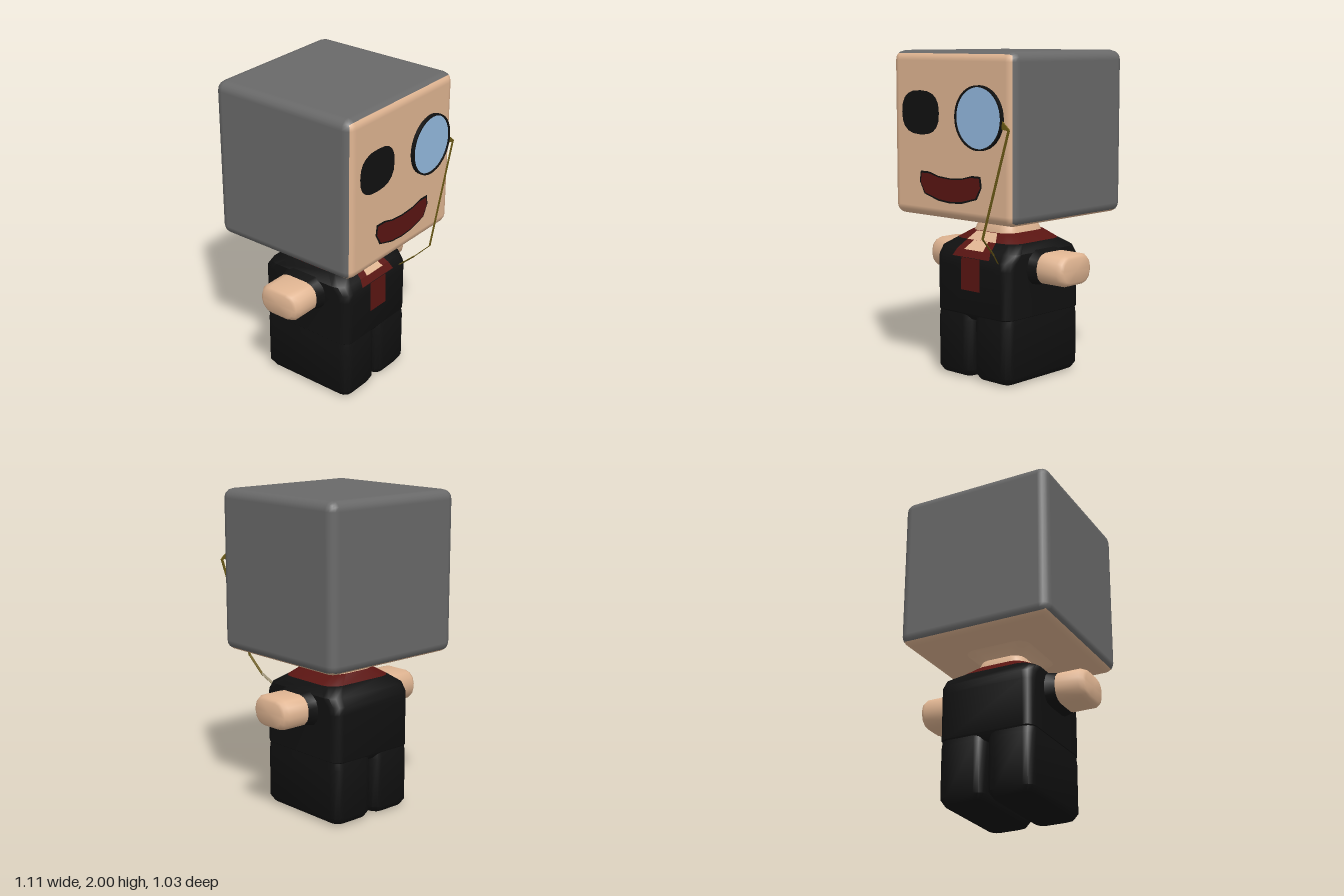
import * as THREE from 'three';
import { toCreasedNormals } from 'three/addons/utils/BufferGeometryUtils.js';
import { RoundedBoxGeometry } from 'three/addons/geometries/RoundedBoxGeometry.js';

const mat = (color) => new THREE.MeshStandardMaterial({ color, side: THREE.DoubleSide });
const CZ = -0.0125; // depth centre of the body

// Rounded-rectangle cross-sections [y, halfX, halfZ, cornerRadius] joined upwards and capped
function loft(rings, seg = 3) {
  const pos = [], idx = [], n = 4 * (seg + 1);
  for (const [y, hx, hz, r] of rings) {
    for (let c = 0; c < 4; c++) {
      const sx = c === 0 || c === 3 ? 1 : -1, sz = c < 2 ? 1 : -1;
      for (let k = 0; k <= seg; k++) {
        const a = (c + k / seg) * Math.PI / 2;
        pos.push(sx * (hx - r) + r * Math.cos(a), y, sz * (hz - r) + r * Math.sin(a));
      }
    }
  }
  const last = (rings.length - 1) * n, bottom = rings.length * n;
  pos.push(0, rings[0][0], 0, 0, rings[rings.length - 1][0], 0);
  for (let i = 0; i < n; i++) {
    const j = (i + 1) % n;
    for (let b = 0; b < last; b += n) {
      idx.push(b + i, b + n + i, b + j, b + n + i, b + n + j, b + j);
    }
    idx.push(bottom, i, j, bottom + 1, last + j, last + i);
  }
  const g = new THREE.BufferGeometry();
  g.setAttribute('position', new THREE.Float32BufferAttribute(pos, 3));
  g.setIndex(idx);
  return toCreasedNormals(g, 0.75);
}

// Front surface depth of the upper body at a given height
function frontZ(y) {
  const p = [[0.5, 0.32], [0.75, 0.32], [0.8, 0.288], [0.85, 0.22], [0.9, 0.17]];
  for (let i = 1; i < p.length; i++) {
    if (y <= p[i][0]) {
      const t = (y - p[i - 1][0]) / (p[i][0] - p[i - 1][0]);
      return THREE.MathUtils.lerp(p[i - 1][1], p[i][1], t);
    }
  }
  return 0.17;
}

// Symmetric patch lying on the chest, from height y0 up to y1
function chestPatch(y0, w0, y1, w1, lift) {
  const z0 = frontZ(y0) + lift, z1 = frontZ(y1) + lift;
  const g = new THREE.BufferGeometry();
  g.setAttribute('position', new THREE.Float32BufferAttribute(
    [-w0, y0, z0, w0, y0, z0, w1, y1, z1, -w1, y1, z1], 3));
  g.setIndex([0, 1, 2, 0, 2, 3]);
  g.computeVertexNormals();
  return g;
}

export function createModel() {
  const group = new THREE.Group();
  const skin = mat(0xe0b592), hair = mat(0x696969), black = mat(0x111111);
  const red = mat(0x5a1512), glass = mat(0x94bae0), gold = mat(0x6b5a17);
  const add = (name, geo, material, x = 0, y = 0, z = 0) => {
    const m = new THREE.Mesh(geo, material);
    m.name = name;
    m.position.set(x, y, z);
    group.add(m);
    return m;
  };

  // Head: face and underside are skin, the other four sides are hair
  add('head', new RoundedBoxGeometry(1, 0.995, 1, 2, 0.06),
    [hair, hair, hair, skin, skin, hair], 0, 1.5025, -0.015);

  // Neck, collar and suit
  add('neck', loft([[0.87, 0.17, 0.17, 0.07], [0.9, 0.165, 0.175, 0.08],
    [0.95, 0.145, 0.155, 0.07], [0.985, 0.175, 0.185, 0.07], [1.015, 0.23, 0.24, 0.07]]), skin, 0, 0, CZ);
  add('collar', loft([[0.85, 0.255, 0.2325, 0.09], [0.9, 0.175, 0.1825, 0.08]]), red, 0, 0, CZ);
  add('torso', loft([[0.37, 0.27, 0.3, 0.05], [0.41, 0.308, 0.3325, 0.06], [0.7, 0.308, 0.3325, 0.06],
    [0.75, 0.312, 0.3325, 0.07], [0.8, 0.315, 0.3, 0.08], [0.85, 0.255, 0.2325, 0.09]]), black, 0, 0, CZ);

  // Legs, sleeves and arms, mirrored
  const leg = loft([[0, 0.1, 0.28, 0.04], [0.012, 0.125, 0.31, 0.05], [0.05, 0.149, 0.3325, 0.06],
    [0.36, 0.149, 0.3325, 0.06], [0.44, 0.145, 0.32, 0.06]]);
  const sleeve = loft([[0.2, 0.13, 0.2, 0.08], [0.31, 0.104, 0.165, 0.08], [0.37, 0.096, 0.152, 0.08]]);
  const arm = loft([[0.34, 0.095, 0.15, 0.08], [0.52, 0.095, 0.15, 0.08],
    [0.545, 0.086, 0.135, 0.075], [0.555, 0.07, 0.115, 0.06]]);
  for (const s of [1, -1]) {
    const side = s > 0 ? 'left' : 'right';
    add(side + 'Leg', leg, black, s * 0.158, 0, CZ);
    add(side + 'Sleeve', sleeve, black, 0, 0.705, -0.015).rotation.z = -s * Math.PI / 2;
    add(side + 'Arm', arm, skin, 0, 0.705, -0.015).rotation.z = -s * Math.PI / 2;
  }

  // Tie, lapels and open neckline
  add('tie', chestPatch(0.555, 0.078, 0.755, 0.078, 0.004), red);
  add('tieKnot', chestPatch(0.757, 0.155, 0.8, 0.14, 0.004), red);
  add('lapels', chestPatch(0.8, 0.14, 0.85, 0.12, 0.004), red);
  add('necklineLower', chestPatch(0.8, 0.08, 0.85, 0.06, 0.007), skin);
  add('necklineUpper', chestPatch(0.85, 0.12, 0.9, 0.085, 0.005), skin);

  // Right eye: flat rounded patch
  const eye = new THREE.Shape();
  for (let i = 0; i < 20; i++) {
    const a = i / 20 * Math.PI * 2, c = Math.cos(a), s = Math.sin(a);
    const x = 0.16 * Math.sign(c) * Math.abs(c) ** 0.78, y = 0.132 * Math.sign(s) * Math.abs(s) ** 0.78;
    i ? eye.lineTo(x, y) : eye.moveTo(x, y);
  }
  add('rightEye', new THREE.ShapeGeometry(eye), black, -0.25, 1.632, 0.488);

  // Mouth: black outline with a smaller red inside
  const half = [[0, 1.255], [0.1, 1.262], [0.18, 1.283], [0.25, 1.283], [0.26, 1.22],
    [0.22, 1.147], [0.1, 1.113], [0, 1.105]];
  const outline = [...half, ...half.slice(1, -1).reverse().map(([x, y]) => [-x, y])];
  const mouth = (kx, ky) => new THREE.ShapeGeometry(new THREE.Shape(
    outline.map(([x, y]) => new THREE.Vector2(x * kx, (y - 1.195) * ky))));
  add('mouthOutline', mouth(1, 1), black, 0, 1.195, 0.488);
  add('mouthInside', mouth(0.955, 0.87), red, 0, 1.195, 0.491);

  // Eyeglass: rim, lens and clasp
  const ring = new THREE.Shape().absarc(0, 0, 0.187, 0, Math.PI * 2);
  ring.holes.push(new THREE.Path().absarc(0, 0, 0.177, 0, Math.PI * 2, true));
  add('eyeglassRim', new THREE.ExtrudeGeometry(ring,
    { depth: 0.022, bevelEnabled: false, curveSegments: 20 }), black, 0.25, 1.62, 0.491);
  add('eyeglassLens', new THREE.CircleGeometry(0.18, 40), glass, 0.25, 1.62, 0.505);
  const clasp = new THREE.Shape([[0.43, 1.615], [0.435, 1.565], [0.492, 1.557], [0.485, 1.57]]
    .map(([x, y]) => new THREE.Vector2(x, y)));
  add('clasp', new THREE.ExtrudeGeometry(clasp, { depth: 0.008, bevelEnabled: false }), gold, 0, 0, 0.498);

  // Chain: thin flat links from the clasp down to the chest
  const path = [[0.485, 1.562, 0.503], [0.28, 0.925, 0.503], [0.267, 0.82, 0.4], [0.226, 0.75, 0.318]]
    .map((p) => new THREE.Vector3(...p));
  for (let i = 0; i < 3; i++) {
    const a = path[i], b = path[i + 1], mid = a.clone().lerp(b, 0.5);
    const m = add('chain', new THREE.BoxGeometry(0.016, 0.004, a.distanceTo(b) + 0.004), gold, mid.x, mid.y, mid.z);
    m.up.set(0, 0, 1);
    m.lookAt(b);
  }
  return group;
}
